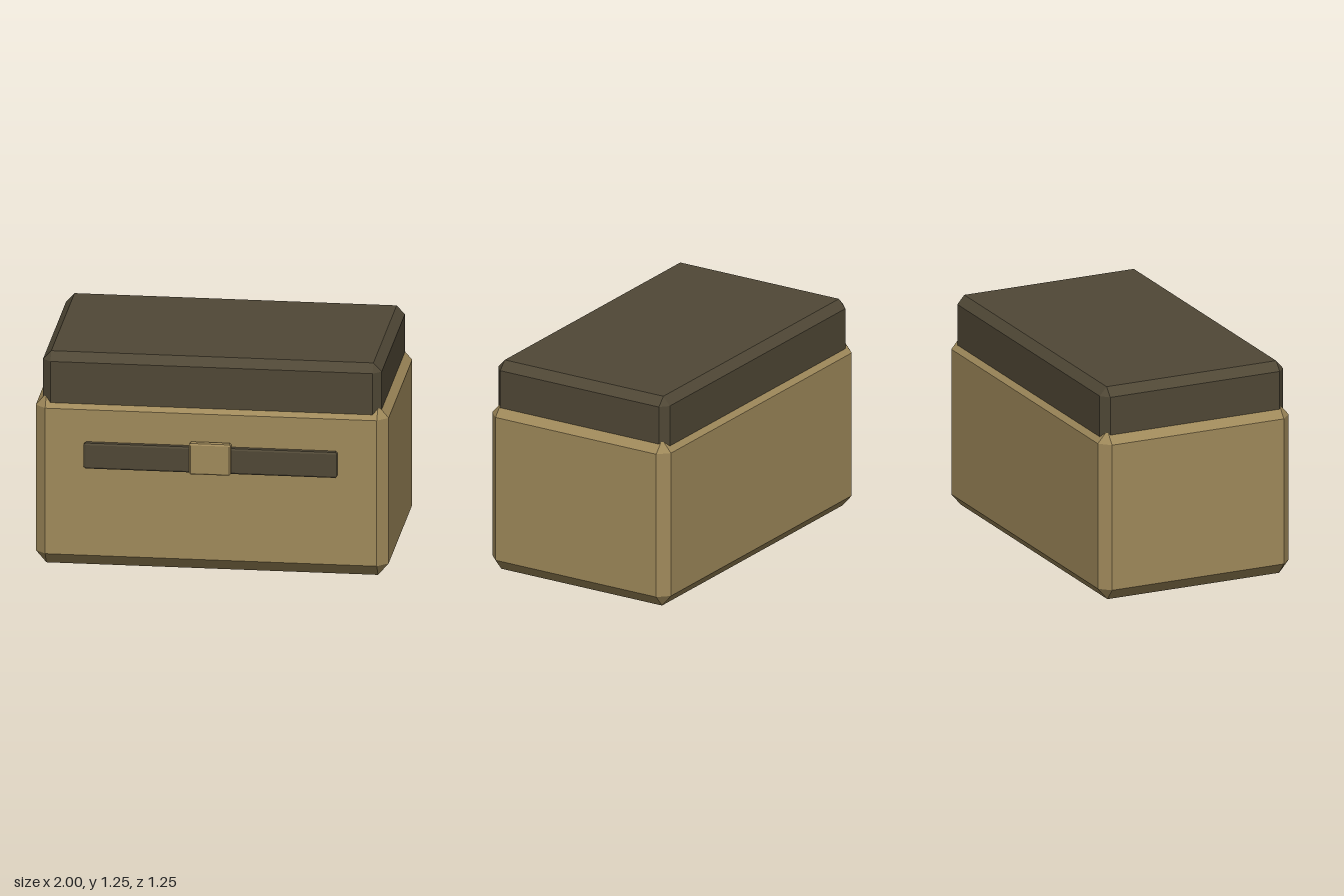
import * as THREE from 'three';
import { ConvexGeometry } from 'three/addons/geometries/ConvexGeometry.js';

const tan = new THREE.MeshStandardMaterial({ color: 0xa08a5b });
tan.name = 'tan';
const darkBrown = new THREE.MeshStandardMaterial({ color: 0x504836 });
darkBrown.name = 'dark brown';

// Box between two corners, every edge chamfered and every corner cut to a triangle
function chamferedBox(name, material, min, max, bevel) {
  const center = min.map((v, i) => (v + max[i]) / 2);
  const half = min.map((v, i) => (max[i] - v) / 2);
  const points = [];
  for (const sx of [-1, 1]) for (const sy of [-1, 1]) for (const sz of [-1, 1]) {
    const sign = [sx, sy, sz];
    // One point per face meeting at this corner
    for (let face = 0; face < 3; face++) {
      points.push(new THREE.Vector3(...sign.map(
        (s, i) => s * (half[i] - (i === face ? 0 : bevel[i])))));
    }
  }
  const mesh = new THREE.Mesh(new ConvexGeometry(points), material);
  mesh.name = name;
  mesh.position.set(...center);
  return mesh;
}

export function createModel() {
  const chest = new THREE.Group();
  chest.name = 'chest';
  chest.add(
    // Main box and the lid sunk into its top
    chamferedBox('body', tan, [-1, 0, -0.625], [1, 1, 0.57], [0.06, 0.07, 0.06]),
    chamferedBox('lid', darkBrown, [-0.96, 0.8, -0.6], [0.96, 1.25, 0.547], [0.047, 0.05, 0.043]),
    // Front strap with its clasp
    chamferedBox('strap', darkBrown, [-0.718, 0.592, 0.55], [0.718, 0.742, 0.604], [0.01, 0.01, 0.006]),
    chamferedBox('clasp', tan, [-0.118, 0.588, 0.578], [0.118, 0.77, 0.625], [0.008, 0.009, 0.006]),
  );
  return chest;
}
